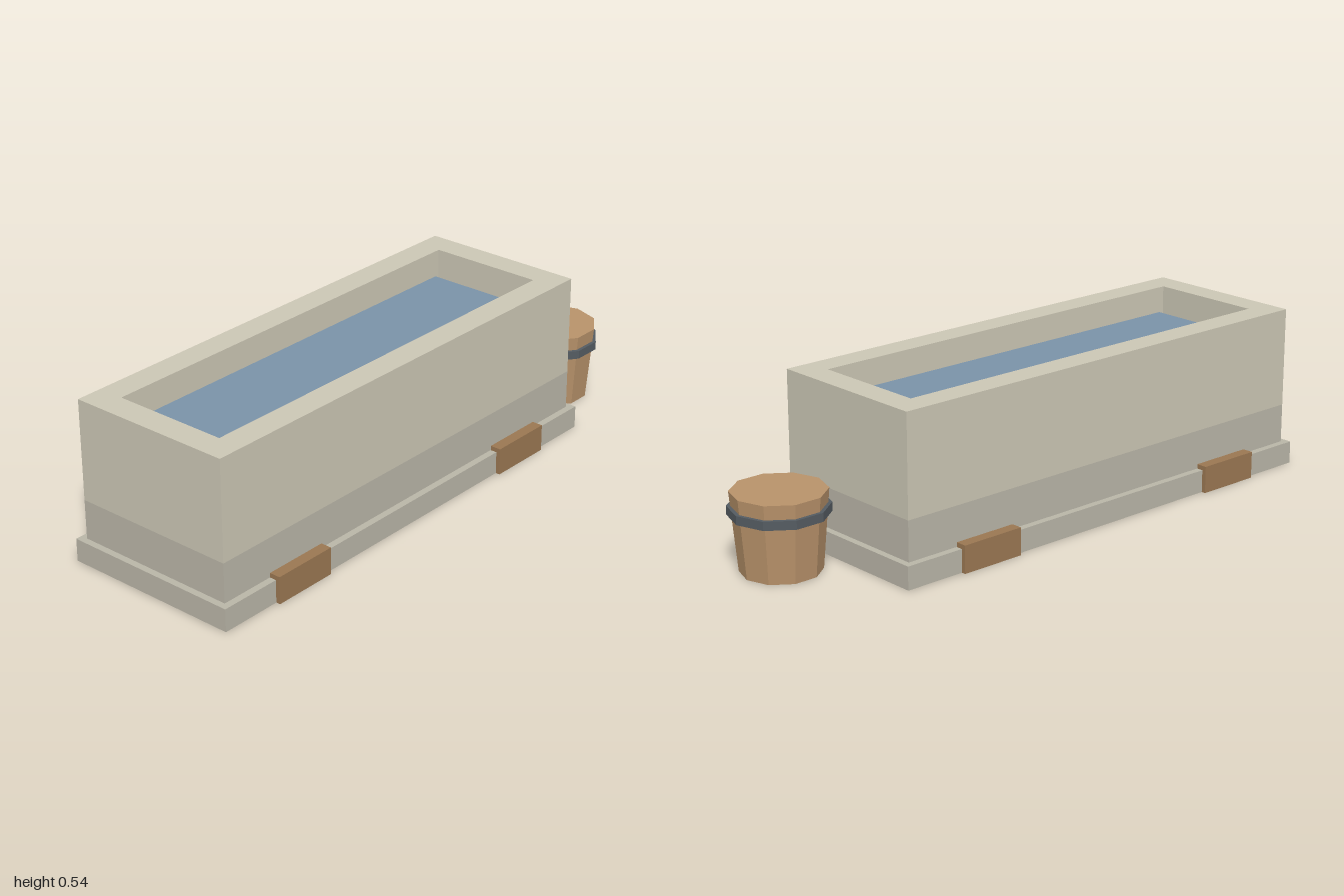
import * as THREE from 'three';

const paint = (color) => new THREE.MeshStandardMaterial({ color, flatShading: true });
const STONE = paint(0xcbc6b4), BASE = paint(0xb9b5a7), WATER = paint(0x7a92a8);
const CLEAT = paint(0x9a7752), WOOD = paint(0xb8926a), IRON = paint(0x545b61);

export function createModel() {
  const model = new THREE.Group();
  model.name = 'waterTrough';

  const add = (parent, name, geometry, material, x, y, z) => {
    const mesh = new THREE.Mesh(geometry, material);
    mesh.name = name;
    mesh.position.set(x, y, z);
    parent.add(mesh);
    return mesh;
  };
  // Box given by its bottom height
  const box = (parent, name, material, w, h, d, x, y, z) =>
    add(parent, name, new THREE.BoxGeometry(w, h, d), material, x, y + h / 2, z);

  // Stone trough: plinth, solid lower block, hollow upper walls, water
  const trough = new THREE.Group();
  trough.name = 'trough';
  trough.position.x = -0.165;
  model.add(trough);
  box(trough, 'plinth', BASE, 1.67, 0.075, 0.61, 0, 0, 0);
  box(trough, 'lowerBlock', BASE, 1.626, 0.13, 0.564, 0, 0.075, 0);

  const rectangle = (PathType, w, d) => new PathType([
    new THREE.Vector2(-w / 2, -d / 2), new THREE.Vector2(w / 2, -d / 2),
    new THREE.Vector2(w / 2, d / 2), new THREE.Vector2(-w / 2, d / 2),
  ]);
  const outline = rectangle(THREE.Shape, 1.626, 0.564);
  outline.holes.push(rectangle(THREE.Path, 1.45, 0.39));
  const wallGeometry = new THREE.ExtrudeGeometry(outline, { depth: 0.33, bevelEnabled: false });
  wallGeometry.rotateX(-Math.PI / 2);
  add(trough, 'walls', wallGeometry, STONE, 0, 0.205, 0);
  box(trough, 'water', WATER, 1.4, 0.02, 0.375, 0, 0.43, 0);

  // Wooden cleats along both long sides of the plinth
  for (const x of [-0.68, 0.353])
    for (const side of [-1, 1])
      box(model, 'cleat', CLEAT, 0.222, 0.09, 0.037, x, 0, side * 0.301);

  // Ten-sided wooden bucket with an iron hoop
  const bucket = new THREE.Group();
  bucket.name = 'bucket';
  bucket.position.set(0.843, 0, 0.075);
  bucket.rotation.y = Math.PI / 2;
  model.add(bucket);
  add(bucket, 'bucketBody', new THREE.CylinderGeometry(0.148, 0.126, 0.253, 10), WOOD, 0, 0.1265, 0);
  add(bucket, 'hoop', new THREE.CylinderGeometry(0.156, 0.156, 0.028, 10), IRON, 0, 0.194, 0);

  return model;
}
